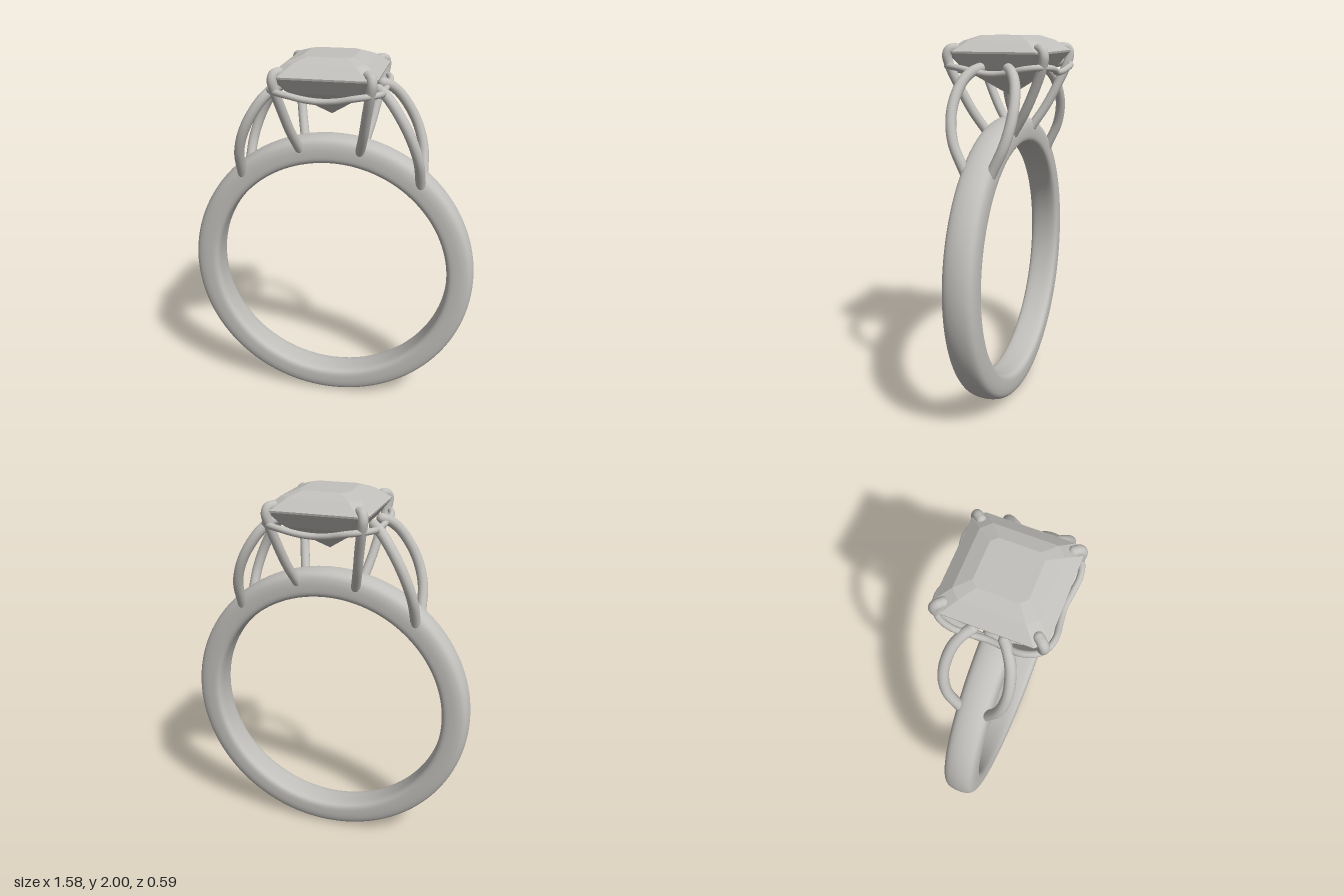
import * as THREE from 'three';

const silver = new THREE.MeshStandardMaterial({ color: 0xc2c0bc });
silver.name = 'silver';

function mesh(name, geometry) {
  const m = new THREE.Mesh(geometry, silver);
  m.name = name;
  return m;
}

// Round wire through points, with ball ends when open
function wire(name, points, radius, closed = false) {
  const pts = points.map((p) => new THREE.Vector3(...p));
  const curve = new THREE.CatmullRomCurve3(pts, closed);
  const group = new THREE.Group();
  group.name = name;
  group.add(mesh(name + 'Wire', new THREE.TubeGeometry(curve, closed ? 128 : 48, radius, 14, closed)));
  if (!closed) {
    for (const p of [pts[0], pts[pts.length - 1]]) {
      const ball = mesh(name + 'End', new THREE.SphereGeometry(radius, 14, 10));
      ball.position.copy(p);
      group.add(ball);
    }
  }
  return group;
}

// Finger band: rounded cross-section (radius, half width) revolved
function makeBand() {
  const half = [[0.645, 0.04], [0.651, 0.07], [0.668, 0.084], [0.7, 0.087], [0.738, 0.084], [0.768, 0.072], [0.784, 0.045]];
  const loop = [
    [0.644, 0],
    ...half.map(([r, z]) => [r, -z]),
    [0.79, 0],
    ...half.slice().reverse(),
    [0.644, 0],
  ].map(([r, z]) => new THREE.Vector2(r, z));
  const profile = new THREE.SplineCurve(loop).getPoints(64);
  const band = mesh('band', new THREE.LatheGeometry(profile, 128));
  band.rotation.x = Math.PI / 2;
  band.position.y = 0.79;
  return band;
}

// Square step-cut stone: stacked rings with clipped corners
function makeStone() {
  const ring = (h, cut, y) => {
    const k = h - cut;
    return [[h, -k], [k, -h], [-k, -h], [-h, -k], [-h, k], [-k, h], [k, h], [h, k]].map(([x, z]) => [x, y, z]);
  };
  const rings = [
    ring(0.001, 0.0003, 1.69),
    ring(0.205, 0.04, 1.835),
    ring(0.265, 0.05, 1.912),
    ring(0.267, 0.05, 1.922),
    ring(0.2, 0.045, 1.974),
    ring(0.128, 0.03, 2.0),
  ];
  const v = [];
  for (let r = 0; r < rings.length - 1; r++) {
    for (let i = 0; i < 8; i++) {
      const j = (i + 1) % 8;
      const [a, b, c, d] = [rings[r][i], rings[r][j], rings[r + 1][j], rings[r + 1][i]];
      v.push(...a, ...b, ...c, ...a, ...c, ...d);
    }
  }
  // table facet
  const top = rings[rings.length - 1];
  for (let i = 0; i < 8; i++) v.push(0, 2.0, 0, ...top[i], ...top[(i + 1) % 8]);
  const g = new THREE.BufferGeometry();
  g.setAttribute('position', new THREE.Float32BufferAttribute(v, 3));
  g.computeVertexNormals();
  return mesh('stone', g);
}

// Gallery wire: a square loop that sags in the middle of each side
function makeGallery() {
  const side = [[-0.225, 1.848, 0.262], [-0.16, 1.84, 0.28], [-0.08, 1.822, 0.272], [0, 1.814, 0.264], [0.08, 1.822, 0.272], [0.16, 1.84, 0.28], [0.225, 1.848, 0.262]];
  const points = [];
  for (let q = 0; q < 4; q++) {
    const c = Math.round(Math.cos(q * Math.PI / 2));
    const s = Math.round(Math.sin(q * Math.PI / 2));
    for (const [x, y, z] of side) points.push([x * c + z * s, y, z * c - x * s]);
  }
  return wire('gallery', points, 0.016, true);
}

export function createModel() {
  const model = new THREE.Group();
  model.name = 'ring';
  model.add(makeBand(), makeStone(), makeGallery());

  const prong = [[0.16, 1.51, 0.07], [0.188, 1.62, 0.14], [0.212, 1.74, 0.2], [0.234, 1.85, 0.245], [0.243, 1.905, 0.255], [0.236, 1.932, 0.243], [0.217, 1.938, 0.22]];
  const shoulder = [[0.48, 1.35, 0.065], [0.468, 1.5, 0.133], [0.42, 1.64, 0.158], [0.34, 1.77, 0.14], [0.285, 1.825, 0.105], [0.25, 1.842, 0.075]];

  // Prongs and shoulder wires, mirrored to all four corners
  for (const sx of [1, -1]) {
    for (const sz of [1, -1]) {
      const mirror = (pts) => pts.map(([x, y, z]) => [x * sx, y, z * sz]);
      const corner = (sz > 0 ? 'front' : 'back') + (sx > 0 ? 'Left' : 'Right');
      model.add(wire(corner + 'Prong', mirror(prong), 0.025));
      model.add(wire(corner + 'Shoulder', mirror(shoulder), 0.027));
    }
  }
  return model;
}
